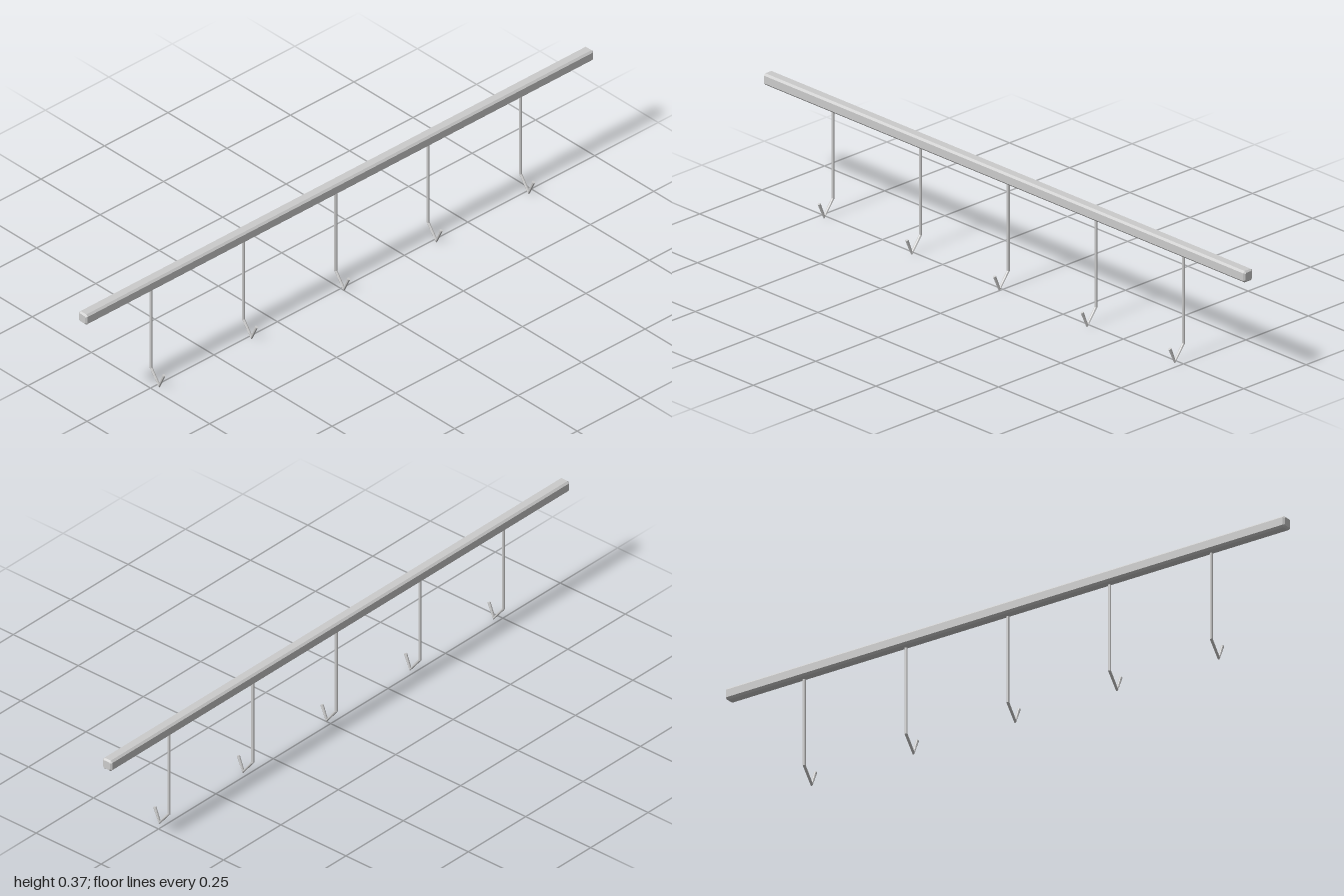
import * as THREE from 'three';

const metal = new THREE.MeshStandardMaterial({ color: 0xcccccc, flatShading: true });

// Square rail with chamfered edges and ends, running along z
function railGeometry() {
  const h = 0.013, c = 0.003, bevel = 0.005;
  const shape = new THREE.Shape([
    [h, -h + c], [h, h - c], [h - c, h], [-h + c, h],
    [-h, h - c], [-h, -h + c], [-h + c, -h], [h - c, -h],
  ].map(([x, y]) => new THREE.Vector2(x, y)));
  const geo = new THREE.ExtrudeGeometry(shape, {
    depth: 2 - 2 * bevel, bevelThickness: bevel, bevelSize: bevel, bevelSegments: 1,
  });
  return geo.translate(0, 0, -1 + bevel);
}

// Bent rod: each ring is given by its outer and inner edge in the xy plane
function hookGeometry() {
  const rings = [
    [-0.026, 0.325, -0.017, 0.325], // top
    [-0.026, 0.051, -0.017, 0.053], // first bend
    [0.015, 0, 0.0135, 0.0115], // lowest point
    [0.0385, 0.049, 0.029, 0.053], // raised tip
  ];
  const sides = 8, radius = 0.0045;
  const point = (i, j) => {
    const [ox, oy, ix, iy] = rings[i];
    const angle = (j / sides) * Math.PI * 2;
    const t = (1 + Math.cos(angle)) / 2;
    return [ox + (ix - ox) * t, oy + (iy - oy) * t, radius * Math.sin(angle)];
  };
  const positions = [];
  const triangle = (a, b, c) => positions.push(...a, ...b, ...c);
  const last = rings.length - 1;
  for (let j = 0; j < sides; j++) {
    for (let i = 0; i < last; i++) {
      triangle(point(i, j), point(i, j + 1), point(i + 1, j + 1));
      triangle(point(i, j), point(i + 1, j + 1), point(i + 1, j));
    }
    // End caps
    triangle(point(0, 0), point(0, j + 1), point(0, j));
    triangle(point(last, 0), point(last, j), point(last, j + 1));
  }
  const geo = new THREE.BufferGeometry();
  geo.setAttribute('position', new THREE.Float32BufferAttribute(positions, 3));
  geo.computeVertexNormals();
  return geo;
}

export function createModel() {
  const model = new THREE.Group();
  model.name = 'hookRail';

  const rail = new THREE.Mesh(railGeometry(), metal);
  rail.name = 'rail';
  rail.position.set(-0.0205, 0.348, 0);
  model.add(rail);

  // Five evenly spaced hooks hanging just below the rail
  const hookShape = hookGeometry();
  for (let i = -2; i <= 2; i++) {
    const hook = new THREE.Mesh(hookShape, metal);
    hook.name = `hook${i + 3}`;
    hook.position.z = i * 0.364;
    model.add(hook);
  }
  return model;
}
